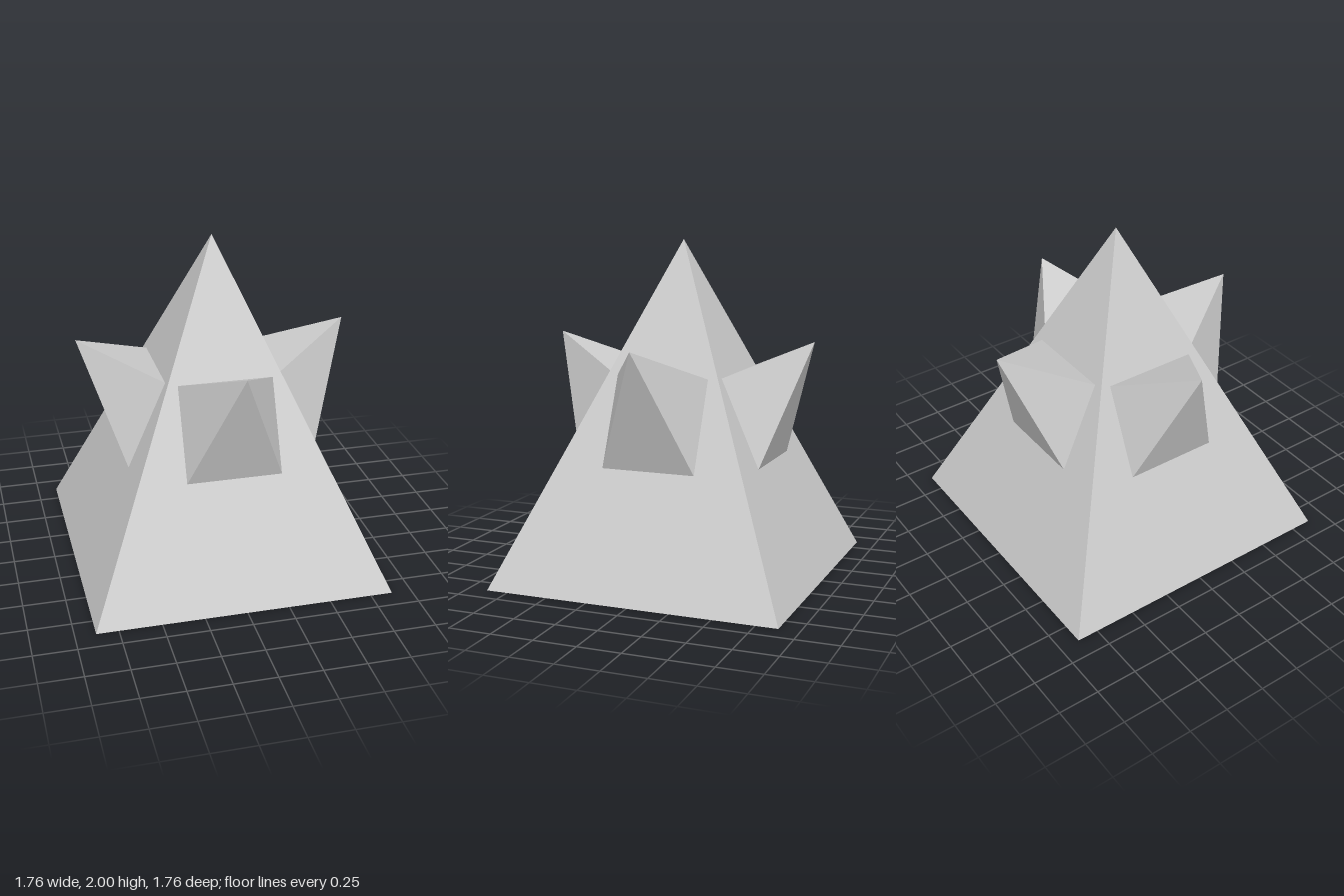
import * as THREE from 'three';

const HALF = 0.88, HEIGHT = 2;             // main pyramid
const SPIKE_HALF = 0.281, SPIKE_OUT = 0.509; // side spikes
const SPIKE_Y = 0.966;                     // height of each spike's base centre

const material = new THREE.MeshStandardMaterial({ color: 0xcccccc, flatShading: true });

// Square pyramid standing on y = 0 with its sides facing the axes
function pyramid(half, height, open) {
  return new THREE.ConeGeometry(half * Math.SQRT2, height, 4, 1, open)
    .rotateY(Math.PI / 4)
    .translate(0, height / 2, 0)
    .toNonIndexed();
}

// Pyramid sheared so that its tip lies over the upper edge, then laid on the sloping front face
function spikeGeometry() {
  const geometry = pyramid(SPIKE_HALF, SPIKE_OUT, true);
  const shear = new THREE.Matrix4().makeShear(0, 0, 0, -0.275 / SPIKE_OUT, 0, 0);
  const p = geometry.attributes.position;
  shear.identity().elements[6] = -0.275 / SPIKE_OUT; // z shifts with y
  p.applyMatrix4(shear);
  geometry.rotateX(Math.atan2(HEIGHT, HALF));
  geometry.translate(0, SPIKE_Y, HALF * (1 - SPIKE_Y / HEIGHT));
  geometry.computeVertexNormals();
  return geometry;
}

export function createModel() {
  const model = new THREE.Group();
  model.name = 'spikedPyramid';

  // Main body
  const bodyGeometry = pyramid(HALF, HEIGHT, false);
  bodyGeometry.computeVertexNormals();
  const body = new THREE.Mesh(bodyGeometry, material);
  body.name = 'pyramidBody';
  model.add(body);

  // One upward-pointing spike on each face
  const geometry = spikeGeometry();
  ['frontSpike', 'leftSpike', 'backSpike', 'rightSpike'].forEach((name, i) => {
    const spike = new THREE.Mesh(geometry, material);
    spike.name = name;
    spike.rotation.y = i * Math.PI / 2;
    model.add(spike);
  });

  return model;
}
